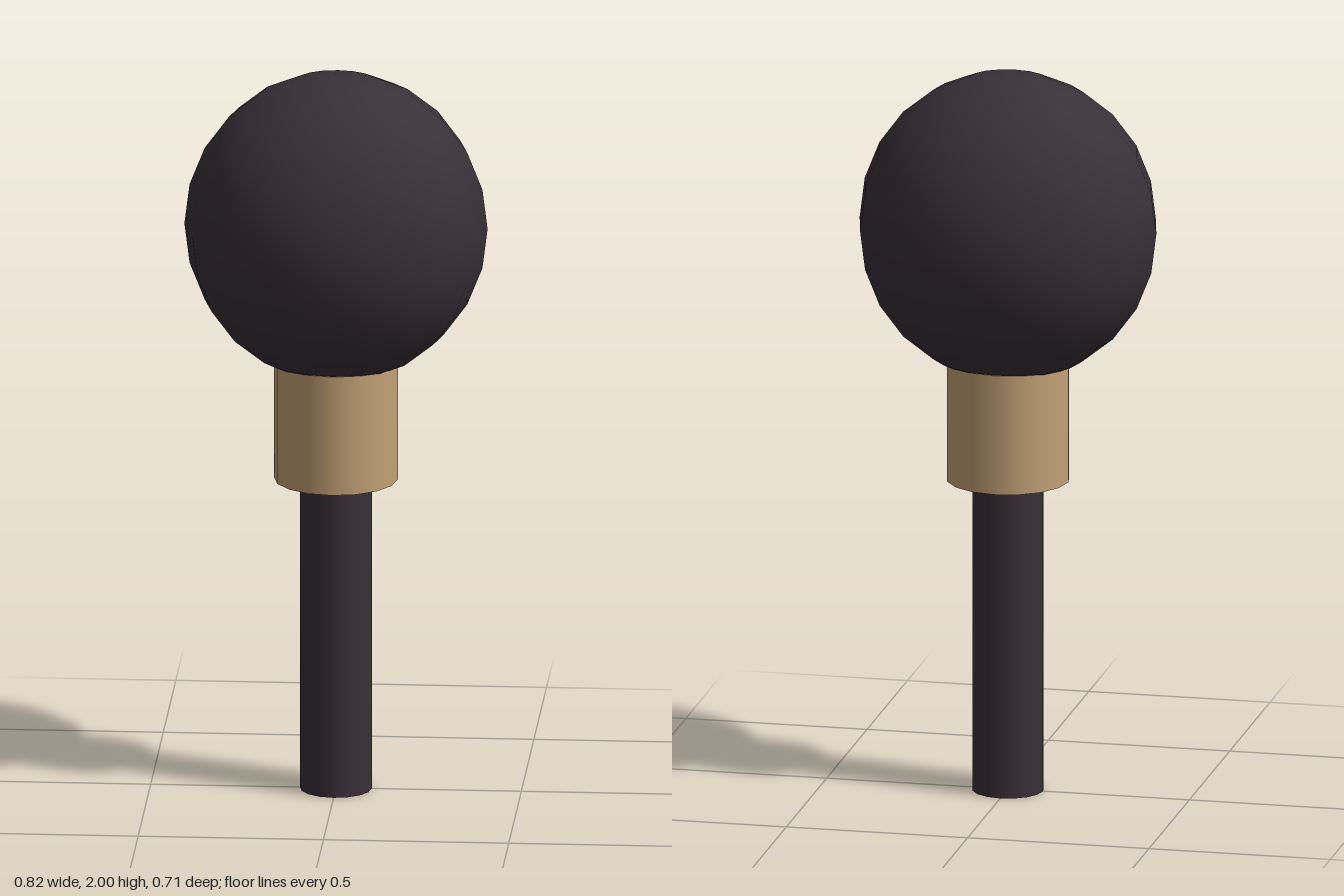
import * as THREE from 'three';

export function createModel() {
  const model = new THREE.Group();
  model.name = 'knobHandle';

  const dark = new THREE.MeshStandardMaterial({ color: 0x3a3038 });
  dark.name = 'dark charcoal';
  const tan = new THREE.MeshStandardMaterial({ color: 0xc4a276 });
  tan.name = 'tan';

  const add = (name, geometry, material, y) => {
    const mesh = new THREE.Mesh(geometry, material);
    mesh.name = name;
    mesh.position.y = y;
    model.add(mesh);
    return mesh;
  };
  // upright cylinder between two heights
  const post = (name, radius, bottom, top, material) =>
    add(name, new THREE.CylinderGeometry(radius, radius, top - bottom, 16), material, (bottom + top) / 2);

  // slim shaft, running a little way up into the collar
  post('shaft', 0.097, 0, 0.9, dark);

  // wider collar below the head
  post('collar', 0.167, 0.868, 1.2, tan);

  // rounded head, flattened front to back
  const head = new THREE.SphereGeometry(1, 16, 12).scale(0.409, 0.425, 0.356);
  add('head', head, dark, 1.575);

  return model;
}
